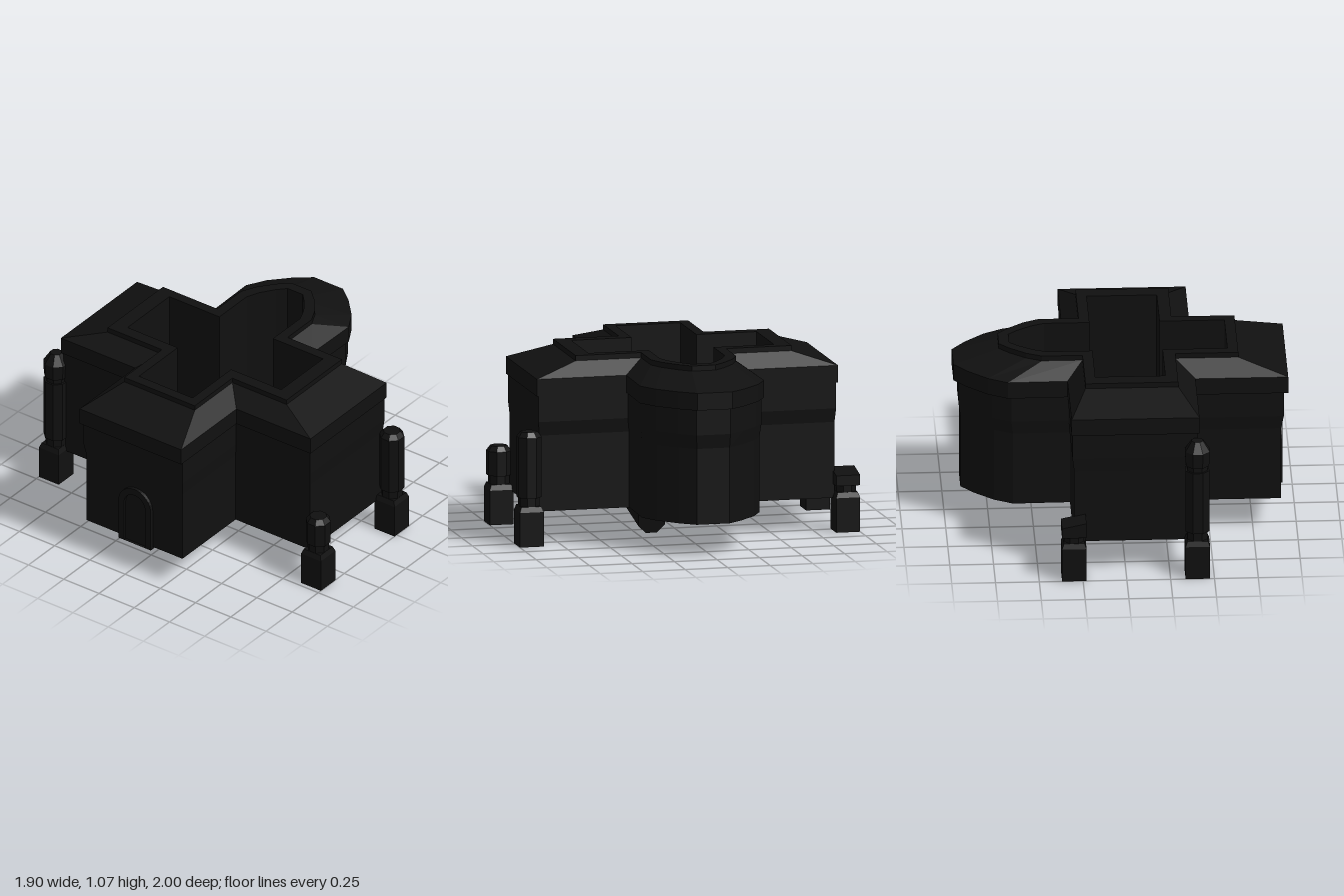
import * as THREE from 'three';

const stone = new THREE.MeshStandardMaterial({ color: 0x101010, flatShading: true });
const thin = new THREE.MeshStandardMaterial({ color: 0x101010, flatShading: true, side: THREE.DoubleSide });

// Cross-shaped plan with a faceted apse on +x, anticlockwise seen from above
function plan(xL, w, aL, aR, Z, apse) {
  const near = [[xL, w], [aL, w], [aL, Z], [aR, Z], [aR, w], ...apse];
  const far = [...apse.map(([x, z]) => [x, -z]).reverse(),
    [aR, -w], [aR, -Z], [aL, -Z], [aL, -w], [xL, -w]];
  return [...near, ...far];
}

const apseAt = (start, end, w) => [
  [start, w],
  [start + (end - start) * 0.37, w * 0.83],
  [start + (end - start) * 0.75, w * 0.54],
  [end, w * 0.28],
];

// Joins stacked rings of equal point count into a skin
function loft(rings) {
  const pos = [];
  for (let r = 0; r < rings.length - 1; r++) {
    const [lo, hi] = [rings[r], rings[r + 1]];
    const n = lo.pts.length;
    for (let i = 0; i < n; i++) {
      const j = (i + 1) % n;
      const a = [lo.pts[i][0], lo.y, lo.pts[i][1]], b = [lo.pts[j][0], lo.y, lo.pts[j][1]];
      const c = [hi.pts[j][0], hi.y, hi.pts[j][1]], d = [hi.pts[i][0], hi.y, hi.pts[i][1]];
      pos.push(...a, ...b, ...c, ...a, ...c, ...d);
    }
  }
  const g = new THREE.BufferGeometry();
  g.setAttribute('position', new THREE.Float32BufferAttribute(pos, 3));
  g.computeVertexNormals();
  return g;
}

function add(parent, name, geometry, x = 0, y = 0, z = 0, material = stone) {
  const m = new THREE.Mesh(geometry, material);
  m.name = name;
  m.position.set(x, y, z);
  parent.add(m);
  return m;
}

// Octagonal shaft turned so its flats face the axes
function octagon(rTop, rBottom, h) {
  return new THREE.CylinderGeometry(rTop, rBottom, h, 8).rotateY(Math.PI / 8);
}

// Square-based pillar, broken off at a given height
function pillar(name, x, z, height, top) {
  const g = new THREE.Group();
  g.name = name;
  g.position.set(x, 0, z);
  add(g, 'pillarBase', new THREE.BoxGeometry(0.14, 0.2, 0.14), 0, 0.1, 0);
  add(g, 'pillarBevel', new THREE.CylinderGeometry(0.083, 0.099, 0.03, 4).rotateY(Math.PI / 4), 0, 0.215, 0);
  add(g, 'pillarNeck', octagon(0.062, 0.062, 0.06), 0, 0.25, 0);
  if (top === 'slab') {
    const slab = new THREE.BoxGeometry(0.14, height - 0.27, 0.14);
    const p = slab.attributes.position;
    for (let i = 0; i < p.count; i++) if (p.getY(i) > 0) p.setY(i, p.getY(i) - (p.getX(i) > 0 ? 0.03 : 0));
    add(g, 'brokenTop', slab, 0, (height + 0.27) / 2, 0);
    return g;
  }
  const shaftTop = top === 'capital' ? 0.66 : height - 0.03;
  add(g, 'shaft', octagon(0.073, 0.073, shaftTop - 0.28), 0, (shaftTop + 0.28) / 2, 0);
  if (top === 'capital') {
    add(g, 'capitalNeck', octagon(0.062, 0.062, 0.05), 0, 0.675, 0);
    add(g, 'capital', octagon(0.075, 0.072, 0.09), 0, 0.735, 0);
    add(g, 'capitalCrown', octagon(0.035, 0.075, 0.06), 0, 0.81, 0);
  } else {
    add(g, 'shaftTop', octagon(0.05, 0.073, 0.03), 0, height - 0.015, 0);
  }
  return g;
}

// Loose shaft lying between two points
function fallen(parent, name, from, to, radius) {
  const a = new THREE.Vector3(...from), b = new THREE.Vector3(...to);
  const dir = b.clone().sub(a);
  const m = add(parent, name, octagon(radius, radius, dir.length()));
  m.position.copy(a).add(b).multiplyScalar(0.5);
  m.quaternion.setFromUnitVectors(new THREE.Vector3(0, 1, 0), dir.normalize());
}

export function createModel() {
  const model = new THREE.Group();
  model.name = 'ruinedCrossHall';

  // Walls
  const wall = plan(-0.91, 0.34, -0.4, 0.295, 0.868, apseAt(0.62, 0.91, 0.345));
  const upper = plan(-0.925, 0.35, -0.41, 0.305, 0.875, apseAt(0.63, 0.92, 0.355));
  const eave = plan(-0.95, 0.36, -0.42, 0.31, 0.885, apseAt(0.65, 0.95, 0.365));
  const ridge = plan(-0.67, 0.25, -0.31, 0.22, 0.635, apseAt(0.45, 0.69, 0.25));
  const inner = plan(-0.61, 0.19, -0.24, 0.16, 0.545, apseAt(0.42, 0.63, 0.19));
  add(model, 'outerWalls', loft([
    { y: 0.19, pts: wall }, { y: 0.63, pts: wall }, { y: 0.71, pts: upper }, { y: 0.86, pts: upper }]));

  // Hipped roof around an open middle
  add(model, 'roof', loft([
    { y: 0.86, pts: upper }, { y: 0.86, pts: eave }, { y: 0.96, pts: eave },
    { y: 1.04, pts: ridge }, { y: 1.07, pts: ridge }, { y: 1.07, pts: inner }]));
  add(model, 'innerWalls', loft([{ y: 1.07, pts: inner }, { y: 0.19, pts: inner }]));

  // Floor
  const floorShape = new THREE.Shape(wall.map(([x, z]) => new THREE.Vector2(x, -z)));
  add(model, 'floor', new THREE.ShapeGeometry(floorShape).rotateX(-Math.PI / 2), 0, 0.19, 0, thin);

  // Arched doorway on the -x end
  const arch = (Path, w, spring) => {
    const s = new Path();
    s.moveTo(-w, 0);
    s.lineTo(w, 0);
    s.lineTo(w, spring);
    s.absarc(0, spring, w, 0, Math.PI, false);
    s.lineTo(-w, 0);
    return s;
  };
  const frame = arch(THREE.Shape, 0.115, 0.255);
  frame.holes.push(arch(THREE.Path, 0.075, 0.255));
  const extrude = (s, depth) => new THREE.ExtrudeGeometry(s, { depth, bevelEnabled: false, curveSegments: 8 });
  add(model, 'doorFrame', extrude(frame, 0.07).rotateY(-Math.PI / 2), -0.86, 0.175, 0.015);
  add(model, 'door', extrude(arch(THREE.Shape, 0.075, 0.255), 0.053).rotateY(-Math.PI / 2), -0.86, 0.175, 0.015);

  // Corner pillars, each broken at its own height
  model.add(pillar('frontRightPillar', -0.405, 0.93, 0.45, 'shaft'));
  model.add(pillar('frontLeftPillar', 0.3, 0.93, 0.66, 'shaft'));
  model.add(pillar('backRightPillar', -0.405, -0.93, 0.84, 'capital'));
  model.add(pillar('backLeftPillar', 0.3, -0.93, 0.36, 'slab'));

  // Fallen shafts lying inside; one has dropped through the floor
  fallen(model, 'sunkenShaft', [0.37, 0.125, 0.225], [-0.2, 0.24, 0.225], 0.085);
  fallen(model, 'backFallenShaft', [-0.18, 0.24, -0.33], [0.15, 0.3, -0.5], 0.06);
  fallen(model, 'apseFallenShaft', [0.34, 0.25, 0.04], [0.6, 0.25, 0.12], 0.055);

  return model;
}
